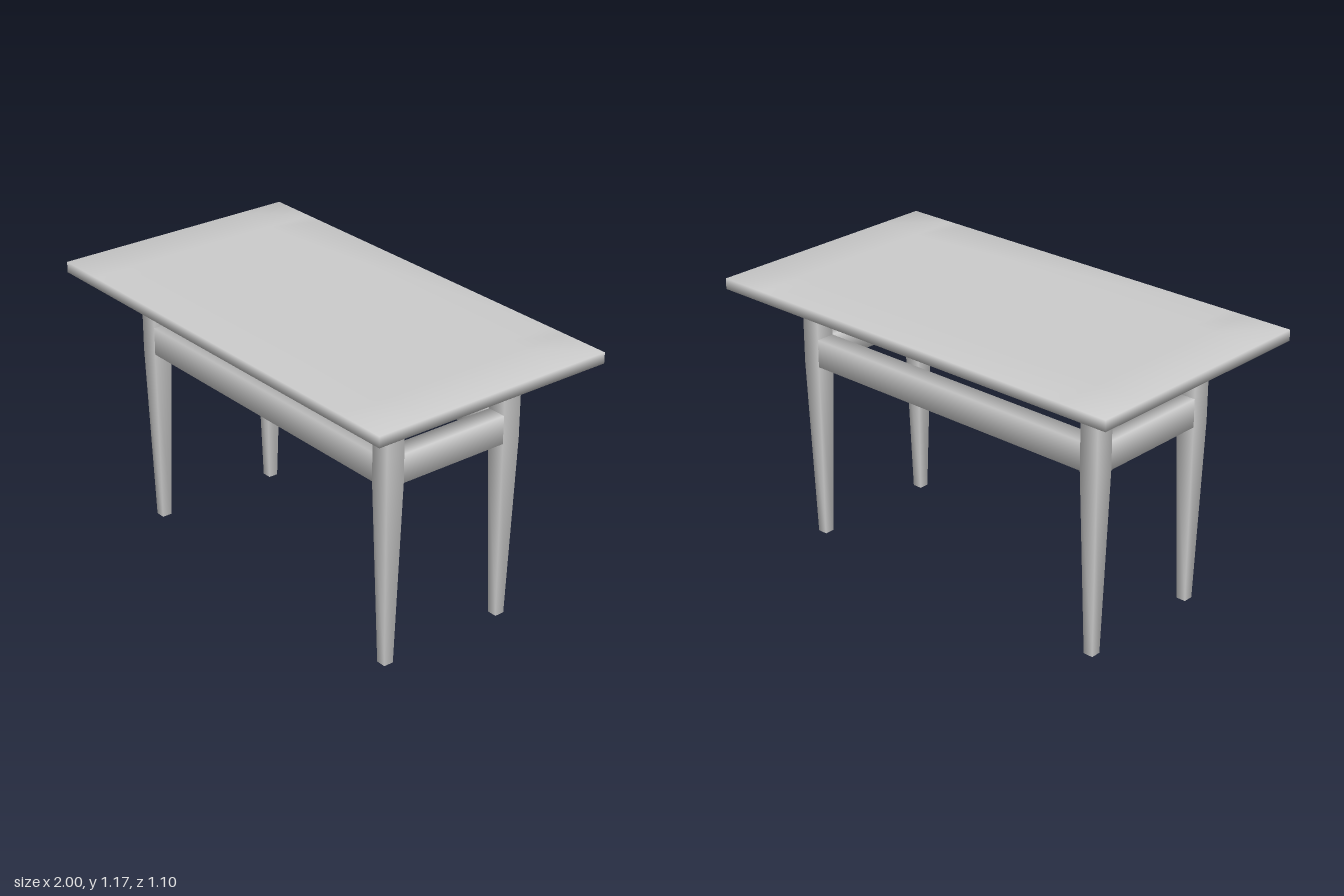
import * as THREE from 'three';
import { mergeVertices } from 'three/addons/utils/BufferGeometryUtils.js';

const LEG_X = 0.745, LEG_Z = 0.29, LEG_W = 0.083, FOOT_W = 0.043;
const TOP_Y = 1.12, TOP_H = 0.046, RAIL_LOW = 0.79, RAIL_HIGH = 0.91;

// Box whose inner grid lines follow the leg edges, with normals shared across its corners
function softTop(width, height, depth) {
  const geo = new THREE.BoxGeometry(width, height, depth, 5, 1, 5);
  const cuts = (half, centre) =>
    [-half, -centre - LEG_W / 2, -centre + LEG_W / 2, centre - LEG_W / 2, centre + LEG_W / 2, half];
  const xs = cuts(width / 2, LEG_X), zs = cuts(depth / 2, LEG_Z);
  const p = geo.attributes.position;
  for (let i = 0; i < p.count; i++) {
    p.setX(i, xs[Math.round((p.getX(i) / width + 0.5) * 5)]);
    p.setZ(i, zs[Math.round((p.getZ(i) / depth + 0.5) * 5)]);
  }
  geo.deleteAttribute('normal');
  geo.deleteAttribute('uv');
  const merged = mergeVertices(geo);
  merged.computeVertexNormals();
  return merged;
}

// Square leg: straight beside the rails, tapering below them
function legGeometry() {
  const r = Math.SQRT1_2;
  const profile = [
    [0, 0], [FOOT_W * r, 0], [LEG_W * r, RAIL_LOW], [LEG_W * r, RAIL_HIGH], [LEG_W * r, TOP_Y],
  ].map(([x, y]) => new THREE.Vector2(x, y));
  return new THREE.LatheGeometry(profile, 4, Math.PI / 4);
}

// Rectangular rail along x; its open ends meet the legs
function railGeometry(length) {
  const geo = new THREE.CylinderGeometry(Math.SQRT1_2, Math.SQRT1_2, 1, 4, 2, true, Math.PI / 4);
  geo.rotateZ(Math.PI / 2);
  geo.scale(length, RAIL_HIGH - RAIL_LOW, LEG_W);
  return geo;
}

export function createModel() {
  const table = new THREE.Group();
  table.name = 'table';
  const material = new THREE.MeshStandardMaterial({ color: 0xcccccc });
  const add = (name, geo, x, y, z) => {
    const mesh = new THREE.Mesh(geo, material);
    mesh.name = name;
    mesh.position.set(x, y, z);
    table.add(mesh);
    return mesh;
  };

  add('tabletop', softTop(2, TOP_H, 1.1), 0, TOP_Y + TOP_H / 2, 0);

  const leg = legGeometry();
  const longRail = railGeometry(2 * LEG_X - LEG_W);
  const shortRail = railGeometry(2 * LEG_Z - LEG_W).rotateY(Math.PI / 2);
  const railY = (RAIL_LOW + RAIL_HIGH) / 2;

  for (const sx of [-1, 1]) {
    const side = sx > 0 ? 'Left' : 'Right';
    for (const sz of [-1, 1]) {
      add((sz > 0 ? 'front' : 'back') + side + 'Leg', leg, sx * LEG_X, 0, sz * LEG_Z);
    }
    add(side.toLowerCase() + 'Rail', shortRail, sx * LEG_X, railY, 0);
    add(sx > 0 ? 'frontRail' : 'backRail', longRail, 0, railY, sx * LEG_Z);
  }
  return table;
}
